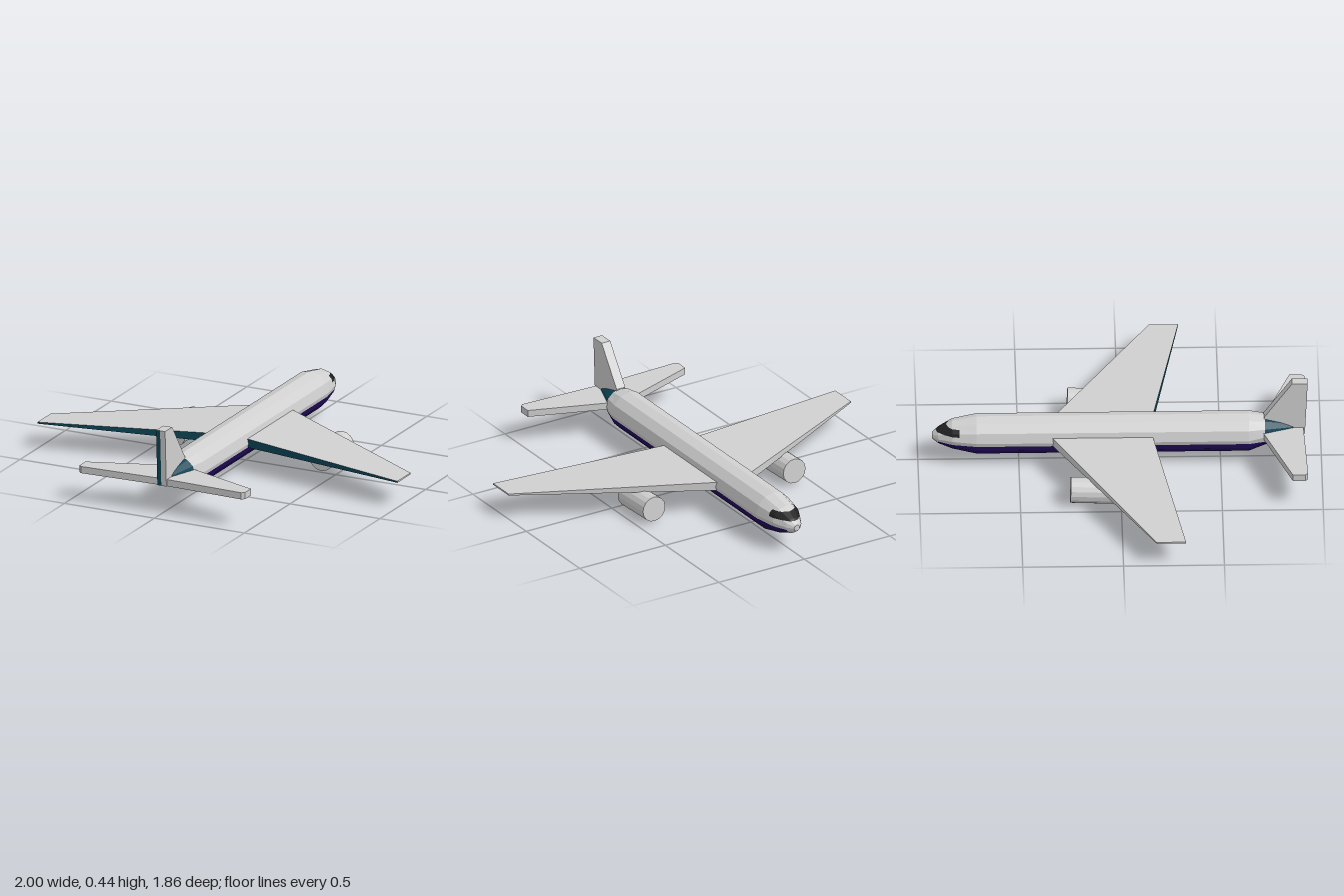
import * as THREE from 'three';

const paint = (name, color) => {
  const m = new THREE.MeshStandardMaterial({ color });
  m.name = name;
  return m;
};

// Flat-shaded mesh from convex polygons (arrays of Vector3), fanned into triangles
function polyMesh(name, polys, material) {
  const pos = [];
  for (const p of polys)
    for (let i = 1; i < p.length - 1; i++)
      for (const v of [p[0], p[i], p[i + 1]]) pos.push(v.x, v.y, v.z);
  const g = new THREE.BufferGeometry();
  g.setAttribute('position', new THREE.Float32BufferAttribute(pos, 3));
  g.computeVertexNormals();
  const mesh = new THREE.Mesh(g, material);
  mesh.name = name;
  return mesh;
}

// Keep the part of a polygon where axis value is above (sign 1) or below (sign -1) a limit
function clip(poly, axis, limit, sign) {
  const out = [];
  poly.forEach((a, i) => {
    const b = poly[(i + 1) % poly.length];
    const da = (a[axis] - limit) * sign, db = (b[axis] - limit) * sign;
    if (da >= 0) out.push(a);
    if (da * db < 0) out.push(a.clone().lerp(b, da / (da - db)));
  });
  return out;
}

// Split polygons by a plane into [above, below]
const split = (polys, axis, limit) => [1, -1].map((s) =>
  polys.map((p) => clip(p, axis, limit, s)).filter((p) => p.length > 2));

// Convex solid between two matching outlines; faces are turned outward
function solidFaces(a, b) {
  const A = a.map((p) => new THREE.Vector3(...p)), B = b.map((p) => new THREE.Vector3(...p));
  const centre = new THREE.Vector3();
  [...A, ...B].forEach((v) => centre.addScaledVector(v, 1 / (2 * A.length)));
  const faces = [A, B];
  A.forEach((v, i) => {
    const j = (i + 1) % A.length;
    faces.push([v, A[j], B[j], B[i]]);
  });
  return faces.map((f) => {
    const n = f[1].clone().sub(f[0]).cross(f[2].clone().sub(f[0]));
    const mid = f[0].clone().add(f[2]).multiplyScalar(0.5);
    return n.dot(mid.sub(centre)) < 0 ? [...f].reverse() : f;
  });
}

export function createModel() {
  const model = new THREE.Group();
  model.name = 'airliner';
  const white = paint('lightGrey', 0xd0d0d0);
  const navy = paint('navy', 0x220a5c);
  const teal = paint('teal', 0x0d485b);
  const black = paint('windowBlack', 0x222222);

  // Fuselage sections from tail to nose: z, centre y, half width, half height
  const sections = [
    [0.91, 0.16, 0.01, 0.012], [0.86, 0.167, 0.03, 0.033], [0.72, 0.16, 0.083, 0.077],
    [0.64, 0.15, 0.1, 0.1], [-0.71, 0.15, 0.1, 0.1], [-0.83, 0.152, 0.08, 0.073],
    [-0.9, 0.145, 0.045, 0.04], [-0.93, 0.143, 0.016, 0.016],
  ];
  const rings = sections.map(([z, y, rx, ry]) => Array.from({ length: 12 }, (_, i) => {
    const t = (i / 12) * Math.PI * 2;
    return new THREE.Vector3(Math.sin(t) * rx, y + Math.cos(t) * ry, z);
  }));
  const skin = [[...rings[0]].reverse(), rings[rings.length - 1]];
  for (let r = 0; r < rings.length - 1; r++)
    for (let i = 0; i < 12; i++) {
      const j = (i + 1) % 12;
      skin.push([rings[r][i], rings[r][j], rings[r + 1][j]], [rings[r][i], rings[r + 1][j], rings[r + 1][i]]);
    }
  for (const p of skin.slice(0, 2)) {
    const n = p[1].clone().sub(p[0]).cross(p[2].clone().sub(p[0]));
    if (n.z * p[0].z < 0) p.reverse();
  }
  for (const p of skin.slice(2)) {
    const n = p[1].clone().sub(p[0]).cross(p[2].clone().sub(p[0]));
    if (n.x * p[0].x + n.y * (p[0].y + p[1].y + p[2].y - 0.45) < 0) p.reverse();
  }

  // Paint regions of the fuselage
  const [tail, body] = split(skin, 'z', 0.72);
  const [tailTop, tailBelly] = split(tail, 'y', 0.12);
  const [mid, tip] = split(body, 'z', -0.9);
  const [upper, belly] = split(mid, 'y', 0.13);
  const [upperMid, nose] = split([...upper, ...tip], 'z', -0.795);
  const [crown, lowNose] = split(nose, 'y', 0.207);
  const [windows, cheek] = split(lowNose, 'y', 0.175);
  model.add(
    polyMesh('fuselageUpper', [...upperMid, ...crown, ...cheek], white),
    polyMesh('fuselageBelly', [...belly, ...tailBelly], navy),
    polyMesh('tailCone', tailTop, teal),
    polyMesh('cockpitWindows', windows, black),
  );

  for (const s of [1, -1]) {
    const side = s > 0 ? 'left' : 'right';

    // Wing: flat underside, thinning to the tip, teal trailing edge
    const plan = [[0.085, -0.338], [1, 0.165], [1, 0.31], [0.085, 0.163]];
    const wing = solidFaces(
      plan.map(([x, z]) => [s * x, x > 0.5 ? 0.138 : 0.175, z]),
      plan.map(([x, z]) => [s * x, 0.13, z]),
    );
    const [top, under, leading, end, trailing, root] = wing;
    const tealFaces = s > 0 ? [trailing] : [trailing, under];
    const whiteFaces = s > 0 ? [top, under, leading, end, root] : [top, leading, end, root];
    model.add(
      polyMesh(side + 'Wing', whiteFaces, white),
      polyMesh(side + 'WingTealFaces', tealFaces, teal),
    );

    // Tailplane
    const stab = [[0, 0.685], [0.46, 0.85], [0.46, 0.913], [0.445, 0.926], [0, 0.91]];
    model.add(polyMesh(side + 'Tailplane', solidFaces(
      stab.map(([x, z]) => [s * x, 0.18, z]),
      stab.map(([x, z]) => [s * x, 0.145, z]),
    ), white));

    // Engine, drooping slightly to the rear
    const engine = new THREE.Mesh(
      new THREE.CylinderGeometry(0.065, 0.065, 0.235, 16).toNonIndexed(), white);
    engine.geometry.computeVertexNormals();
    engine.rotation.x = Math.PI / 2 + 0.04;
    engine.position.set(s * 0.41, 0.07, -0.134);
    engine.name = side + 'Engine';
    model.add(engine);
  }

  // Fin in two layers, the right one with a teal rear edge
  const fin = [[0.715, 0.24], [0.855, 0.437], [0.932, 0.437], [0.918, 0.145], [0.72, 0.145]];
  const layer = (x0, x1) => solidFaces(
    fin.map(([z, y]) => [x0, y, z]), fin.map(([z, y]) => [x1, y, z]));
  const rightLayer = layer(-0.025, -0.003);
  const rear = rightLayer.splice(4, 1);
  model.add(
    polyMesh('fin', [...layer(-0.003, 0.025), ...rightLayer], white),
    polyMesh('finRearEdge', rear, teal),
  );
  return model;
}
